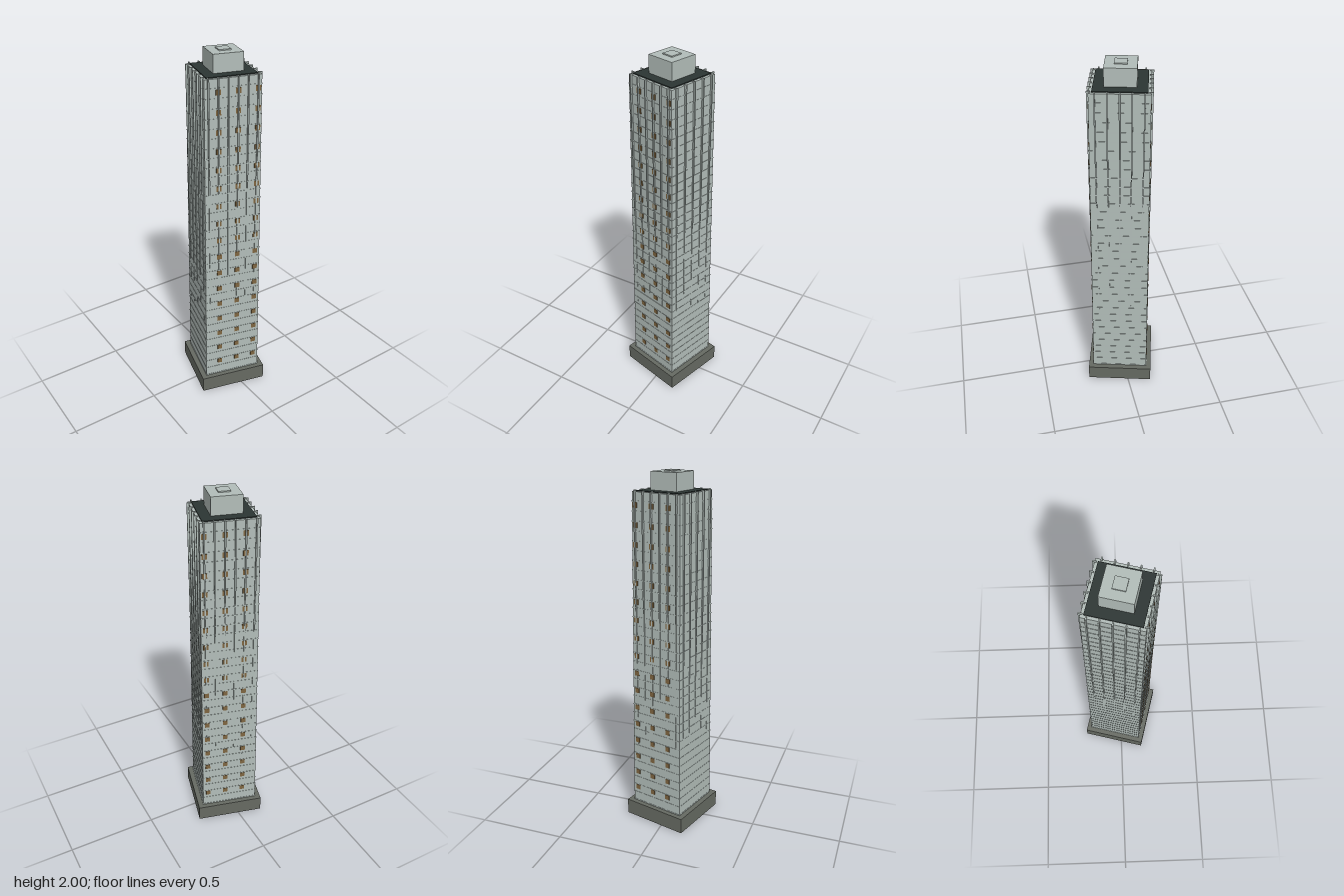
import * as THREE from 'three';

const material = (name, color) => {
  const m = new THREE.MeshStandardMaterial({ color });
  m.name = name;
  return m;
};

export function createModel() {
  const stone = material('pale stone', 0xb2bdb9);
  const plinthGrey = material('plinth grey', 0x666a62);
  const roofDark = material('dark roof', 0x2c3533);
  const amber = material('amber window', 0x7e6540);

  const tower = new THREE.Group();
  tower.name = 'tower';
  tower.rotation.y = -Math.PI / 12;

  const box = (name, mat, w, h, d, x, y, z, parent = tower) => {
    const mesh = new THREE.Mesh(new THREE.BoxGeometry(w, h, d), mat);
    mesh.name = name;
    mesh.position.set(x, y, z);
    parent.add(mesh);
    return mesh;
  };
  const group = (name) => {
    const g = new THREE.Group();
    g.name = name;
    tower.add(g);
    return g;
  };

  // Tapering shaft: half width shrinks evenly with height
  const Y0 = 0.09, Y1 = 1.895, H0 = 0.162, H1 = 0.149;
  const half = (y) => H0 + (H1 - H0) * (y - Y0) / (Y1 - Y0);
  const taper = Math.atan((H0 - H1) / (Y1 - Y0));

  box('plinth', plinthGrey, 0.384, Y0, 0.378, 0, Y0 / 2, 0);

  const shaftGeometry = new THREE.CylinderGeometry(H1 * Math.SQRT2, H0 * Math.SQRT2, Y1 - Y0, 4)
    .rotateY(Math.PI / 4).toNonIndexed();
  shaftGeometry.computeVertexNormals();
  const shaft = new THREE.Mesh(shaftGeometry, stone);
  shaft.name = 'shaft';
  shaft.position.y = (Y0 + Y1) / 2;
  tower.add(shaft);

  // Floor ledges
  const ledges = group('floorLedges');
  const FLOORS = 35, STEP = (Y1 - Y0) / FLOORS;
  for (let i = 0; i < FLOORS; i++) {
    const y = Y0 + i * STEP + 0.004;
    const w = 2 * (half(y) + 0.0015);
    box('floorLedge', stone, w, 0.006, w, 0, y, 0, ledges);
  }

  // Upright fins that sink into the widening wall lower down
  const fins = group('fins');
  const FIN_OUT = 0.1595, FIN_DEEP = 0.02, finH = 1.9 - Y0, finY = Y0 + finH / 2;
  for (const s of [-1, 1]) {
    for (let i = 0; i < 6; i++) {
      box('fin', stone, 0.007, finH, FIN_DEEP, (i - 2.5) * 0.052, finY, s * (FIN_OUT - FIN_DEEP / 2), fins);
    }
    for (let i = -2; i <= 2; i++) {
      box('fin', stone, FIN_DEEP, finH, 0.007, s * (FIN_OUT - FIN_DEEP / 2), finY, i * 0.06, fins);
    }
  }

  // Lit windows on front and back, leaning with the wall
  const windows = group('windows');
  for (const s of [-1, 1]) {
    for (let row = 0; row < 17; row++) {
      const y = 0.183 + row * 0.1028;
      for (const x of [-0.078, 0.026, 0.13]) {
        const pane = box('window', amber, 0.027, 0.028, 0.006, x, y, s * (half(y) + 0.0005), windows);
        pane.rotation.x = -s * taper;
      }
    }
  }

  // Roof slab inside a pale rim, with the plant room and hatch
  box('roofSlab', roofDark, 0.268, 0.01, 0.268, 0, 1.895, 0);
  box('plantRoom', stone, 0.16, 0.095, 0.16, 0, 1.9465, 0);
  box('roofHatch', stone, 0.063, 0.01, 0.063, 0, 1.995, 0);

  const model = new THREE.Group();
  model.name = 'skyscraper';
  model.add(tower);
  return model;
}
